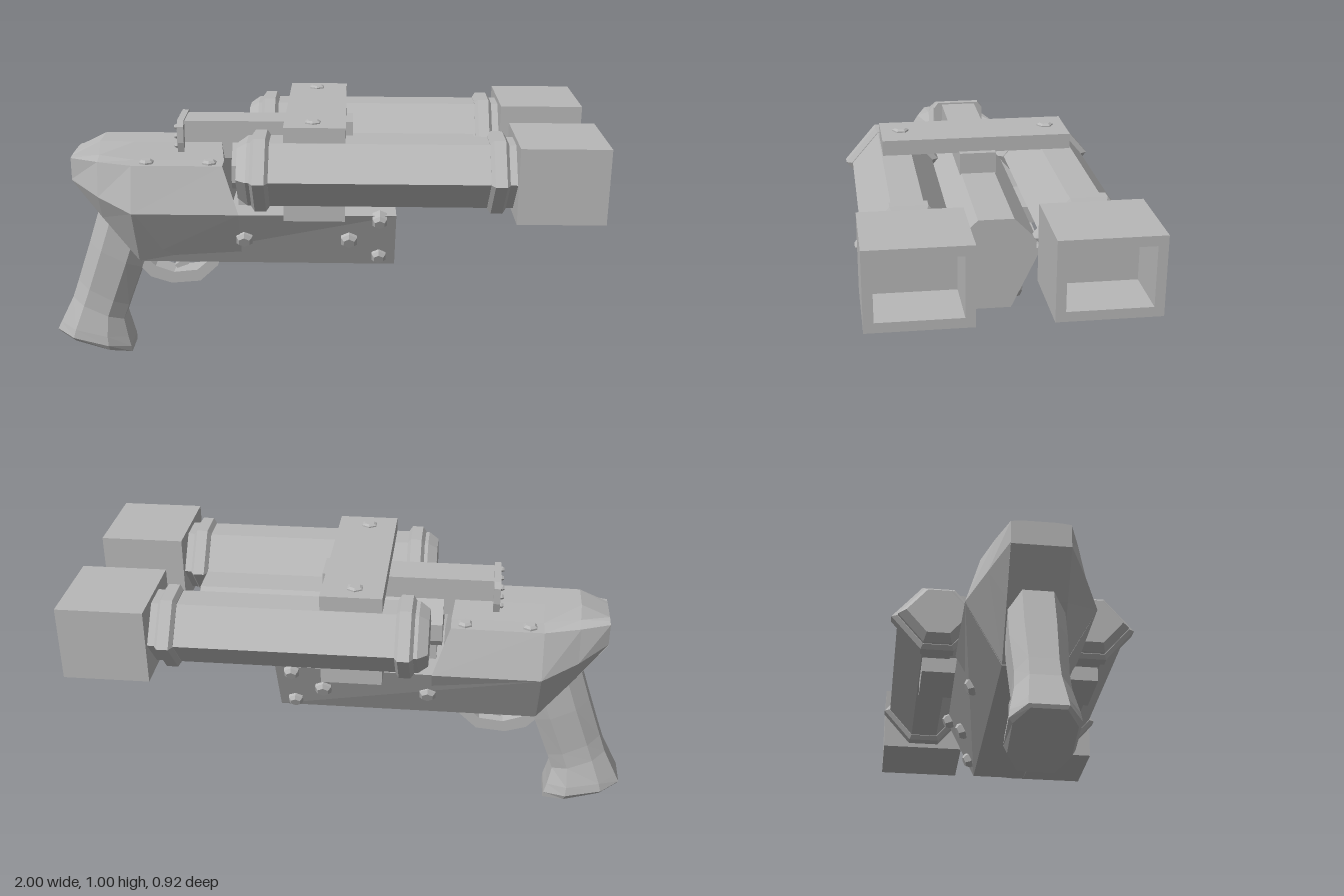
import * as THREE from 'three';

const metal = new THREE.MeshStandardMaterial({ color: 0xb8b8b8, flatShading: true });
metal.name = 'grey metal';

// Skin a row of half outlines [x, y, z>0]; every outline is mirrored across z.
function loft(halves) {
  const rings = halves.map(h => [...h, ...h.slice().reverse().map(([x, y, z]) => [x, y, -z])]);
  const n = rings[0].length, pos = [];
  const tri = (...p) => p.forEach(v => pos.push(...v));
  for (let s = 0; s < rings.length - 1; s++) {
    const a = rings[s], b = rings[s + 1];
    for (let i = 0; i < n; i++) {
      const j = (i + 1) % n;
      tri(a[i], b[i], b[j]);
      tri(a[i], b[j], a[j]);
    }
  }
  const first = rings[0], last = rings[rings.length - 1];
  for (let i = 1; i < n - 1; i++) {
    tri(first[0], first[i], first[i + 1]);
    tri(last[0], last[i + 1], last[i]);
  }
  const g = new THREE.BufferGeometry();
  g.setAttribute('position', new THREE.Float32BufferAttribute(pos, 3));
  g.computeVertexNormals();
  return g;
}

export function createModel() {
  const model = new THREE.Group();
  model.name = 'twinBarrelBlaster';
  const add = (name, geo, parent = model) => {
    const m = new THREE.Mesh(geo, metal);
    m.name = name;
    parent.add(m);
    return m;
  };
  const box = (name, x0, x1, y0, y1, halfZ, parent) =>
    add(name, new THREE.BoxGeometry(x1 - x0, y1 - y0, halfZ * 2), parent)
      .position.set((x0 + x1) / 2, (y0 + y1) / 2, 0);
  // Hexagonal bolt with a chamfered head, pointing along dir
  const bolt = (name, r, h, pos, dir) => {
    const profile = [[0, -h], [r, -h], [r, h * 0.45], [r * 0.65, h], [0, h]];
    const m = add(name, new THREE.LatheGeometry(profile.map(p => new THREE.Vector2(...p)), 6));
    m.position.set(...pos);
    m.quaternion.setFromUnitVectors(new THREE.Vector3(0, 1, 0), new THREE.Vector3(...dir).normalize());
  };

  // Rear body: sloping tail, bolt shelves and raised spine
  const bodyHalf = (x, pts) => pts.map(([y, z, dx = 0]) => [x + dx, y, z]);
  add('rearBody', loft([
    bodyHalf(-0.895, [[0.72, 0.1], [0.725, 0.1], [0.805, 0.1], [0.808, 0.075], [0.81, 0.05]]),
    bodyHalf(-0.79, [[0.575, 0.1], [0.675, 0.162], [0.802, 0.138], [0.815, 0.09], [0.86, 0.06]]),
    bodyHalf(-0.66, [[0.405, 0.1], [0.632, 0.225], [0.8, 0.175], [0.8, 0.1], [0.86, 0.065]]),
    bodyHalf(-0.27, [[0.41, 0.1], [0.632, 0.224], [0.8, 0.172, -0.06], [0.8, 0.1, -0.06], [0.86, 0.065, -0.07]]),
  ]));

  // Lower receiver with inward sloping sides
  add('receiver', loft([
    [[-0.655, 0.402, 0.1], [-0.655, 0.63, 0.224]],
    [[0.3, 0.402, 0.1], [0.3, 0.63, 0.208]],
  ]));

  // Grip, stacked from the top down
  const grip = [
    [-0.79, 0.66, -0.61, 0.5, 0.095], [-0.855, 0.46, -0.66, 0.36, 0.095],
    [-0.91, 0.3, -0.72, 0.2, 0.087], [-0.935, 0.23, -0.742, 0.14, 0.09],
    [-0.985, 0.13, -0.727, 0.07, 0.108], [-1, 0.1, -0.717, 0.03, 0.112], [-0.995, 0.088, -0.715, 0.004, 0.1],
  ];
  add('grip', loft(grip.map(([xb, yb, xf, yf, w]) =>
    [[0, 0.55], [0.25, 1], [0.72, 1], [1, 0.58]].map(([t, k]) =>
      [xb + (xf - xb) * t, yb + (yf - yb) * t, w * k]))));

  // Trigger guard and trigger, cut from side outlines
  const plate = (name, pts, depth) => {
    const s = new THREE.Shape(pts.map(p => new THREE.Vector2(...p)));
    add(name, new THREE.ExtrudeGeometry(s, { depth, bevelEnabled: false })).position.z = -depth / 2;
  };
  plate('triggerGuard', [
    [-0.67, 0.36], [-0.63, 0.315], [-0.55, 0.29], [-0.44, 0.3], [-0.37, 0.365], [-0.355, 0.42],
    [-0.4, 0.42], [-0.405, 0.385], [-0.45, 0.345], [-0.54, 0.335], [-0.61, 0.36], [-0.64, 0.39],
  ], 0.083);
  plate('trigger', [
    [-0.5, 0.42], [-0.505, 0.38], [-0.54, 0.355], [-0.53, 0.343], [-0.485, 0.36], [-0.465, 0.42],
  ], 0.04);

  // Centre barrel and the rail above it
  const centre = x => [[x, 0.7, 0.12], [x, 0.725, 0.135], [x, 0.79, 0.135], [x, 0.865, 0.06]];
  add('centreBarrel', loft([centre(-0.3), centre(0.59)]));
  box('topRail', -0.48, 0.14, 0.8, 0.94, 0.065);

  // Rear strap across the rail
  add('rearStrap', loft([-0.5, -0.476].map(x => [
    [x, 0.81, 0.068], [x, 0.815, 0.08], [x, 0.865, 0.096], [x, 0.925, 0.096], [x, 0.946, 0.08],
  ])));
  for (const y of [0.85, 0.885, 0.92]) for (const s of [1, -1])
    bolt('strapStud', 0.01, 0.012, [-0.5, y, s * 0.075], [-1, 0, 0]);

  // Outer barrels, mirrored left and right
  const hex = (x, k) => [[-1, 0.053], [0, 0.15], [1, 0.053]]
    .map(([v, z]) => [x, 0.823 + v * 0.113 * k, z * k]);
  for (const s of [1, -1]) {
    const barrel = new THREE.Group();
    barrel.name = s > 0 ? 'leftBarrel' : 'rightBarrel';
    barrel.position.z = s * 0.288;
    model.add(barrel);
    add('tube', loft([hex(-0.26, 0.8), hex(-0.225, 1), hex(0.71, 1)]), barrel);
    for (const x of [-0.18, 0.64])
      add('ring', loft([hex(x - 0.032, 1.02), hex(x - 0.02, 1.16), hex(x + 0.02, 1.16), hex(x + 0.032, 1.02)]), barrel);

    // Square hollow muzzle
    const rect = (C, w, h) => new C([[-w, -h], [w, -h], [w, h], [-w, h]].map(p => new THREE.Vector2(...p)));
    const frame = rect(THREE.Shape, 0.168, 0.133);
    frame.holes.push(rect(THREE.Path, 0.136, 0.1));
    const muzzle = add('muzzle', new THREE.ExtrudeGeometry(frame, { depth: 0.2, bevelEnabled: false }), barrel);
    muzzle.rotation.y = Math.PI / 2;
    muzzle.position.set(0.8, 0.823, 0);
    box('muzzleBase', 0.697, 0.8, 0.69, 0.956, 0.168, barrel);

    // Bolts on the shelf, bracket and sloping receiver side
    for (const x of [-0.61, -0.38]) bolt('shelfBolt', 0.028, 0.014, [x, 0.8, s * 0.138], [0, 1, 0]);
    bolt('bracketBolt', 0.03, 0.01, [0, 0.99, s * 0.265], [0, 1, 0]);
    for (const [x, y, r] of [[-0.255, 0.52, 0.034], [0.13, 0.52, 0.034], [0.24, 0.61, 0.03], [0.24, 0.445, 0.03]])
      bolt('sideBolt', r, 0.024, [x, y, s * (0.1 + (y - 0.402) * 0.5)], [0, -0.45, s]);
  }

  // Bracket plates clamping the barrels together
  box('upperBracket', -0.1, 0.115, 0.936, 0.99, 0.337);
  box('lowerBracket', -0.1, 0.115, 0.652, 0.715, 0.337);
  box('mountBlock', -0.28, 0.1, 0.62, 0.71, 0.1);
  return model;
}
